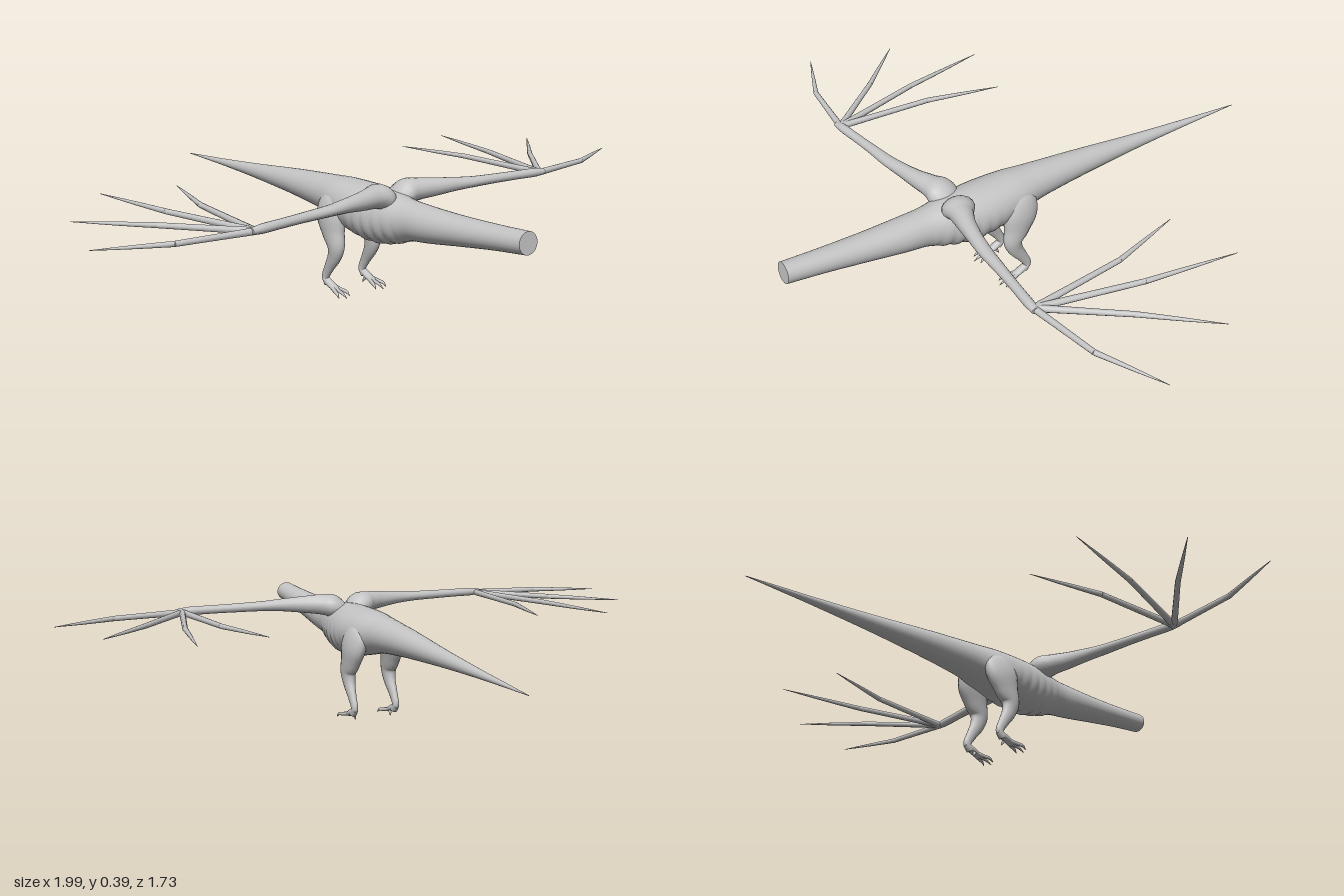
import * as THREE from 'three';

const skin = new THREE.MeshStandardMaterial({ color: 0xc4c4c4 });
skin.name = 'grey skin';

// Smooth tube through sections [x, y, z, radius along side, radius across], with flat caps.
function limb(name, sections, side, rings, sides, ripple = () => 1) {
  const path = new THREE.CatmullRomCurve3(sections.map(s => new THREE.Vector3(s[0], s[1], s[2])));
  const size = new THREE.CatmullRomCurve3(sections.map(s => new THREE.Vector3(s[3], s[4] ?? s[3], 0)), false, 'catmullrom');
  const pos = [], index = [];
  for (let i = 0; i <= rings; i++) {
    const c = path.getPoint(i / rings), r = size.getPoint(i / rings), t = path.getTangent(i / rings);
    const u = side.clone().addScaledVector(t, -side.dot(t)).normalize();
    const v = new THREE.Vector3().crossVectors(t, u);
    for (let j = 0; j < sides; j++) {
      const a = j / sides * Math.PI * 2, k = ripple(c.z, Math.sin(a));
      const p = c.clone().addScaledVector(u, Math.cos(a) * Math.max(r.x, 0.0005) * k)
        .addScaledVector(v, Math.sin(a) * Math.max(r.y, 0.0005) * k);
      pos.push(p.x, p.y, p.z);
      if (i < rings) {
        const j2 = (j + 1) % sides, p0 = i * sides + j, p1 = i * sides + j2;
        index.push(p0, p1, p0 + sides, p1, p1 + sides, p0 + sides);
      }
    }
  }
  // end caps with their own vertices, so the rim stays sharp
  for (const end of [0, rings]) {
    const base = pos.length / 3, c = path.getPoint(end / rings);
    pos.push(...pos.slice(end * sides * 3, (end + 1) * sides * 3), c.x, c.y, c.z);
    for (let j = 0; j < sides; j++) {
      const a = base + j, b = base + (j + 1) % sides;
      index.push(base + sides, ...(end ? [a, b] : [b, a]));
    }
  }
  const geo = new THREE.BufferGeometry();
  geo.setAttribute('position', new THREE.Float32BufferAttribute(pos, 3));
  geo.setIndex(index);
  geo.computeVertexNormals();
  const mesh = new THREE.Mesh(geo, skin);
  mesh.name = name;
  return mesh;
}

const X = new THREE.Vector3(1, 0, 0), Y = new THREE.Vector3(0, 1, 0);

export function createModel() {
  const model = new THREE.Group();
  model.name = 'wingedCreature';

  // neck, torso and tail in one piece: [z, top, bottom, half width]
  const profile = [
    [0.865, 0.366, 0.3, 0.035], [0.74, 0.358, 0.284, 0.04], [0.6, 0.352, 0.262, 0.048],
    [0.48, 0.351, 0.242, 0.056], [0.4, 0.353, 0.23, 0.06], [0.33, 0.362, 0.207, 0.074],
    [0.25, 0.367, 0.194, 0.087], [0.17, 0.367, 0.202, 0.09], [0.08, 0.365, 0.22, 0.08],
    [0, 0.358, 0.237, 0.064], [-0.1, 0.349, 0.247, 0.053], [-0.2, 0.339, 0.254, 0.044],
    [-0.4, 0.317, 0.263, 0.027], [-0.6, 0.297, 0.269, 0.015], [-0.75, 0.284, 0.271, 0.007],
    [-0.865, 0.274, 0.272, 0.001],
  ];
  // scalloped folds round the belly and flanks, between the chest and the hips
  const folds = (z, s) => {
    const low = (s + 0.4) / 1.4;
    if (low <= 0 || z < 0.13 || z > 0.41) return 1;
    return 1 + 0.09 * low * (Math.abs(Math.sin((z - 0.13) / 0.04 * Math.PI)) - 0.5) * Math.sin((z - 0.13) / 0.28 * Math.PI);
  };
  model.add(limb('body', profile.map(([z, top, low, w]) => [0, (top + low) / 2, z, w, (top - low) / 2]), X, 220, 32, folds));

  // finger bones: middle joint and tip, as [x, z]
  const fingers = [
    [[0.79, 0.352], [0.995, 0.268]],
    [[0.735, 0.17], [0.91, -0.01]],
    [[0.643, 0.06], [0.698, -0.24]],
    [[0.528, 0.06], [0.463, -0.185]],
  ];

  for (const s of [1, -1]) {
    const label = s > 0 ? 'left' : 'right';
    const part = (name, pts, side, rings, sides) =>
      limb(label + name, pts.map(([x, ...rest]) => [x * s, ...rest]), side, rings, sides);

    // wing arm, flaring into the shoulder and thin from elbow to wrist
    const wing = new THREE.Group();
    wing.name = label + 'Wing';
    wing.add(part('Arm', [
      [0.005, 0.315, 0.298, 0.025, 0.04], [0.05, 0.354, 0.304, 0.038, 0.052], [0.09, 0.36, 0.317, 0.034, 0.038],
      [0.14, 0.361, 0.332, 0.029, 0.029], [0.21, 0.362, 0.347, 0.022, 0.023], [0.28, 0.361, 0.358, 0.017, 0.021],
      [0.37, 0.36, 0.366, 0.015, 0.017], [0.46, 0.359, 0.375, 0.014, 0.015], [0.53, 0.358, 0.382, 0.014, 0.015],
      [0.57, 0.357, 0.385, 0.01, 0.012],
    ], Y, 45, 16));
    fingers.forEach(([mid, tip], i) => {
      const at = (a, b, f, r) => [a[0] + (b[0] - a[0]) * f, 0.355, a[1] + (b[1] - a[1]) * f, r];
      const root = [0.555, 0.382];
      const bone = (name, a, b, radii) =>
        part(name, radii.map((r, k) => at(a, b, k / (radii.length - 1), r)), Y, 10, 10);
      wing.add(
        bone(`Finger${i + 1}Base`, root, mid, [0.011, 0.0095, 0.0085]),
        bone(`Finger${i + 1}Tip`, mid, tip, [0.0085, 0.0055, 0.0008]),
      );
    });
    model.add(wing);

    // leg: heavy thigh, bent knee, shin sloping back to the ankle
    const leg = new THREE.Group();
    leg.name = label + 'Leg';
    leg.add(part('LegBones', [
      [0.045, 0.325, 0.072, 0.012, 0.025], [0.058, 0.295, 0.078, 0.028, 0.056], [0.068, 0.25, 0.09, 0.033, 0.063],
      [0.072, 0.2, 0.106, 0.028, 0.048], [0.074, 0.16, 0.121, 0.024, 0.034], [0.074, 0.125, 0.113, 0.019, 0.026],
      [0.075, 0.08, 0.086, 0.013, 0.018], [0.075, 0.045, 0.069, 0.011, 0.014], [0.075, 0.025, 0.082, 0.012, 0.012],
    ], X, 44, 18));
    leg.add(part('Foot', [
      [0.075, 0.042, 0.06, 0.008], [0.075, 0.034, 0.08, 0.013, 0.012],
      [0.075, 0.022, 0.11, 0.014, 0.009], [0.075, 0.016, 0.13, 0.011, 0.006],
    ], X, 14, 12));
    // three clawed toes in front
    for (const k of [-1, 0, 1]) {
      const reach = 0.165 + (k === 0 ? 0.012 : 0);
      leg.add(part('Toe' + (k + 2), [
        [0.075 + k * 0.006, 0.022, 0.108, 0.007], [0.075 + k * 0.014, 0.016, 0.135, 0.006],
        [0.075 + k * 0.019, 0.013, 0.152, 0.005], [0.075 + k * 0.021, 0.002, reach, 0.001],
      ], X, 12, 8));
    }
    // small hind claw
    leg.add(part('HindClaw', [
      [0.072, 0.026, 0.1, 0.006], [0.066, 0.016, 0.092, 0.005], [0.064, 0.004, 0.086, 0.001],
    ], X, 8, 8));
    model.add(leg);
  }
  return model;
}
